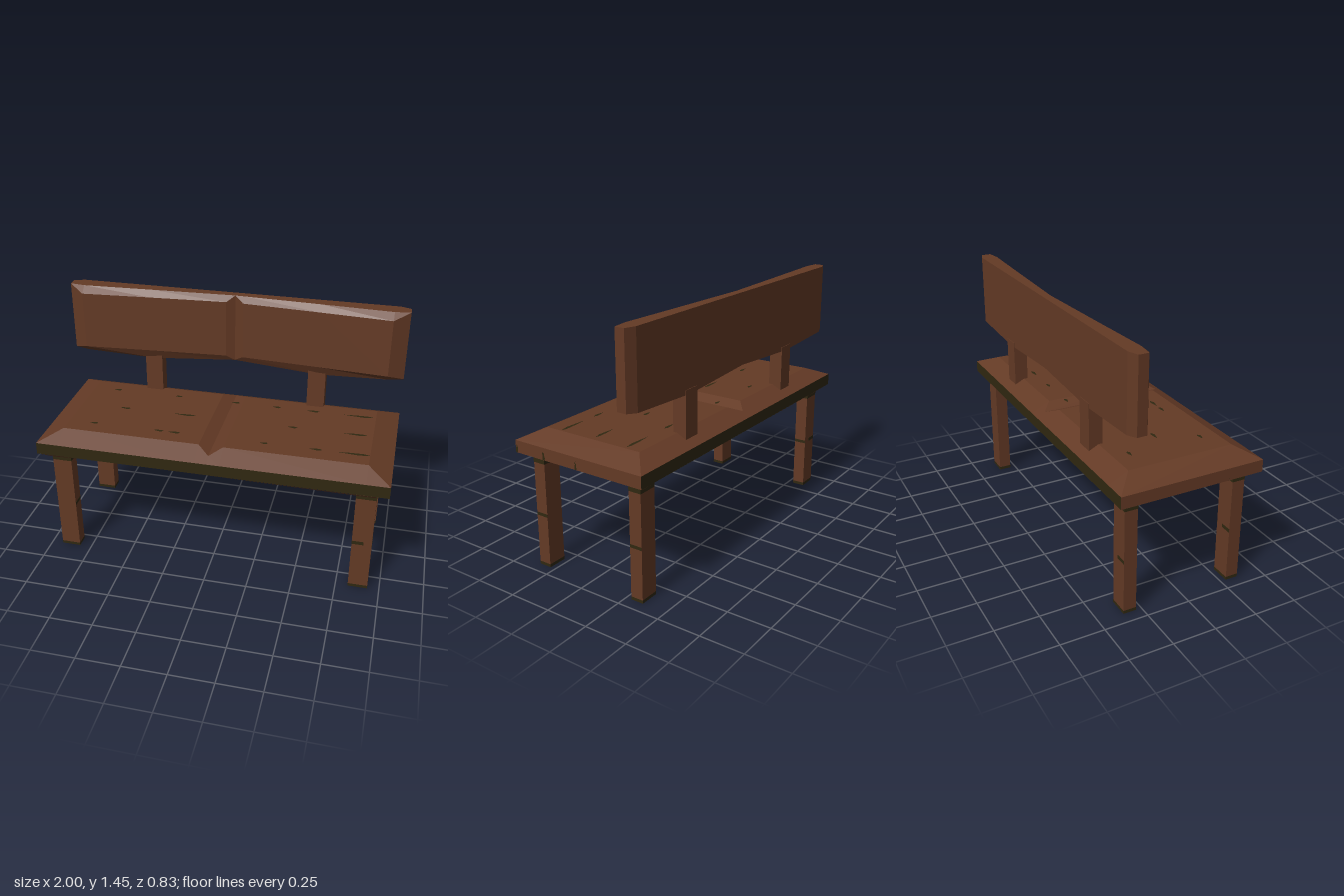
import * as THREE from 'three';

const wood = new THREE.MeshStandardMaterial({ color: 0x643a25 });
wood.name = 'brown wood';
const moss = new THREE.MeshStandardMaterial({ color: 0x302811 });
moss.name = 'dark moss';

// Flat-shaded surface over rows of [x, y, z] points
function sheet(rows, closed = false) {
  const pos = [];
  for (let i = 0; i < rows.length - 1; i++) {
    const n = rows[i].length;
    for (let j = 0; j < (closed ? n : n - 1); j++) {
      const k = (j + 1) % n;
      const a = rows[i][j], b = rows[i][k], c = rows[i + 1][k], d = rows[i + 1][j];
      pos.push(...a, ...b, ...c, ...a, ...c, ...d);
    }
  }
  const g = new THREE.BufferGeometry();
  g.setAttribute('position', new THREE.Float32BufferAttribute(pos, 3));
  g.computeVertexNormals();
  return g;
}

function add(parent, name, geometry, material) {
  const m = new THREE.Mesh(geometry, material);
  m.name = name;
  parent.add(m);
  return m;
}

// Box given by its minimum and maximum corners
function block(parent, name, min, max, material) {
  const s = max.map((v, i) => v - min[i]);
  const m = add(parent, name, new THREE.BoxGeometry(...s), material);
  m.position.set(...max.map((v, i) => (v + min[i]) / 2));
  return m;
}

function buildSeat() {
  const seat = new THREE.Group();
  seat.name = 'seat';

  // Mossy long edges, plain ends
  block(seat, 'seatEdge', [-1, 0.676, -0.415], [1, 0.745, 0.415],
    [wood, wood, wood, wood, moss, moss]);

  // Bevelled top with a groove across the middle
  const top = [-1, -0.87, -0.07, 0, 0.07, 0.87, 1].map((x) => {
    const end = Math.abs(x) === 1;
    const y = end ? 0.745 : x === 0 ? 0.77 : 0.8;
    const zi = end ? 0.415 : x === 0 ? 0.365 : 0.305;
    return [[x, 0.745, -0.415], [x, y, -zi], [x, y, zi], [x, 0.745, 0.415]];
  });
  add(seat, 'seatTop', sheet(top), wood);

  // Vaulted underside, lowest above the four legs
  const under = [1, 0.92, 0, -0.92, -1].map((x) =>
    [-0.415, -0.36, 0, 0.36, 0.415].map((z) => {
      const low = Math.abs(x) === 0.92 && Math.abs(z) === 0.36;
      return [x, low ? 0.632 : 0.675, z];
    }));
  add(seat, 'seatUnderside', sheet(under), wood);

  // Moss ticks on both ends
  for (const s of [-1, 1]) {
    for (const [z, w] of [[0.408, 0.014], [0.215, 0.02], [0, 0.012]]) {
      block(seat, 'endMoss', [s * 0.999 - 0.001, 0.677, z - w / 2],
        [s * 0.999 + 0.001, 0.744, z + w / 2], moss);
    }
  }

  // Thin moss flakes in three rows: [x, width]
  const flakes = [
    [-0.215, [[-0.72, 0.05], [-0.33, 0.05], [0.03, 0.05], [0.28, 0.05], [0.5, 0.08], [0.77, 0.18]]],
    [0, [[-0.6, 0.07], [-0.23, 0.14], [0.41, 0.06], [0.77, 0.14]]],
    [0.21, [[-0.72, 0.05], [-0.33, 0.06], [-0.24, 0.08], [0.28, 0.05], [0.57, 0.08], [0.78, 0.18]]],
  ];
  for (const [z, list] of flakes) {
    for (const [x, w] of list) {
      const shape = new THREE.Shape([[-0.5, 0], [-0.1, 0.007], [0.3, 0.009], [0.5, 0], [0.2, -0.011], [-0.25, -0.005]]
        .map(([u, v]) => new THREE.Vector2(u * w, v)));
      const f = add(seat, 'mossFlake', new THREE.ShapeGeometry(shape), moss);
      f.rotation.x = -Math.PI / 2;
      f.position.set(x, 0.801, z);
    }
  }
  return seat;
}

function buildLeg(sx, sz) {
  const leg = new THREE.Group();
  leg.name = (sz > 0 ? 'front' : 'back') + (sx > 0 ? 'Left' : 'Right') + 'Leg';
  const x = 0.877 * sx, z = 0.32 * sz, hx = 0.056, hz = 0.037, e = 0.001;
  block(leg, 'legPost', [x - hx, 0.018, z - hz], [x + hx, 0.67, z + hz], wood);
  block(leg, 'mossyFoot', [x - hx, 0, z - hz], [x + hx, 0.018, z + hz], moss);
  block(leg, 'mossyCollar', [x - hx - e, 0.612, z - hz - e], [x + hx + e, 0.636, z + hz + e], moss);
  // Mid-height moss on one side and part of one long face
  block(leg, 'legMossSide', [x + hx - e, 0.302, z - hz], [x + hx + e, 0.32, z + hz], moss);
  const zf = z + sx * hz;
  block(leg, 'legMossFace', [x - hx, 0.304, zf - e], [x + 0.01, 0.325, zf + e], moss);
  return leg;
}

function buildBackrest() {
  const back = new THREE.Group();
  back.name = 'backrest';

  // Half of the stations: x, back x, back z, top-front z, front z, front top y, front bottom y, bottom y
  const half = [
    [0, 0, -0.357, -0.31, -0.31, 1.45, 1.04, 1.04],
    [0.05, 0.05, -0.357, -0.308, -0.288, 1.413, 1.073, 1.037],
    [0.5, 0.5, -0.357, -0.288, -0.257, 1.413, 1.073, 1.01],
    [0.91, 0.94, -0.357, -0.268, -0.225, 1.413, 1.073, 1.033],
    [1, 1, -0.335, -0.28, -0.28, 1.45, 1.04, 1.04],
  ];
  const loop = ([x, xb, zb, zt, zf, yt, yf, y], s) => [
    [s * xb, 1.45, zb], [s * x, 1.45, zt], [s * x, yt, zf],
    [s * x, yf, zf], [s * x, y, zt], [s * xb, y, zb],
  ];
  const rows = [
    ...half.slice(1).reverse().map((h) => loop(h, -1)),
    ...half.map((h) => loop(h, 1)),
  ];
  add(back, 'backBoard', sheet(rows, true), wood);

  // End caps
  for (const s of [-1, 1]) {
    const rear = [[s, 1.04, -0.335], [s, 1.45, -0.335]];
    const fore = [[s, 1.04, -0.28], [s, 1.45, -0.28]];
    add(back, 'boardEnd', sheet(s > 0 ? [rear, fore] : [fore, rear]), wood);
    block(back, 'backPost', [s * 0.5 - 0.052, 0.745, -0.36], [s * 0.5 + 0.052, 1.04, -0.28], wood);
  }
  return back;
}

export function createModel() {
  const bench = new THREE.Group();
  bench.name = 'bench';
  bench.add(buildSeat(), buildBackrest());
  for (const sx of [-1, 1]) for (const sz of [-1, 1]) bench.add(buildLeg(sx, sz));
  return bench;
}
